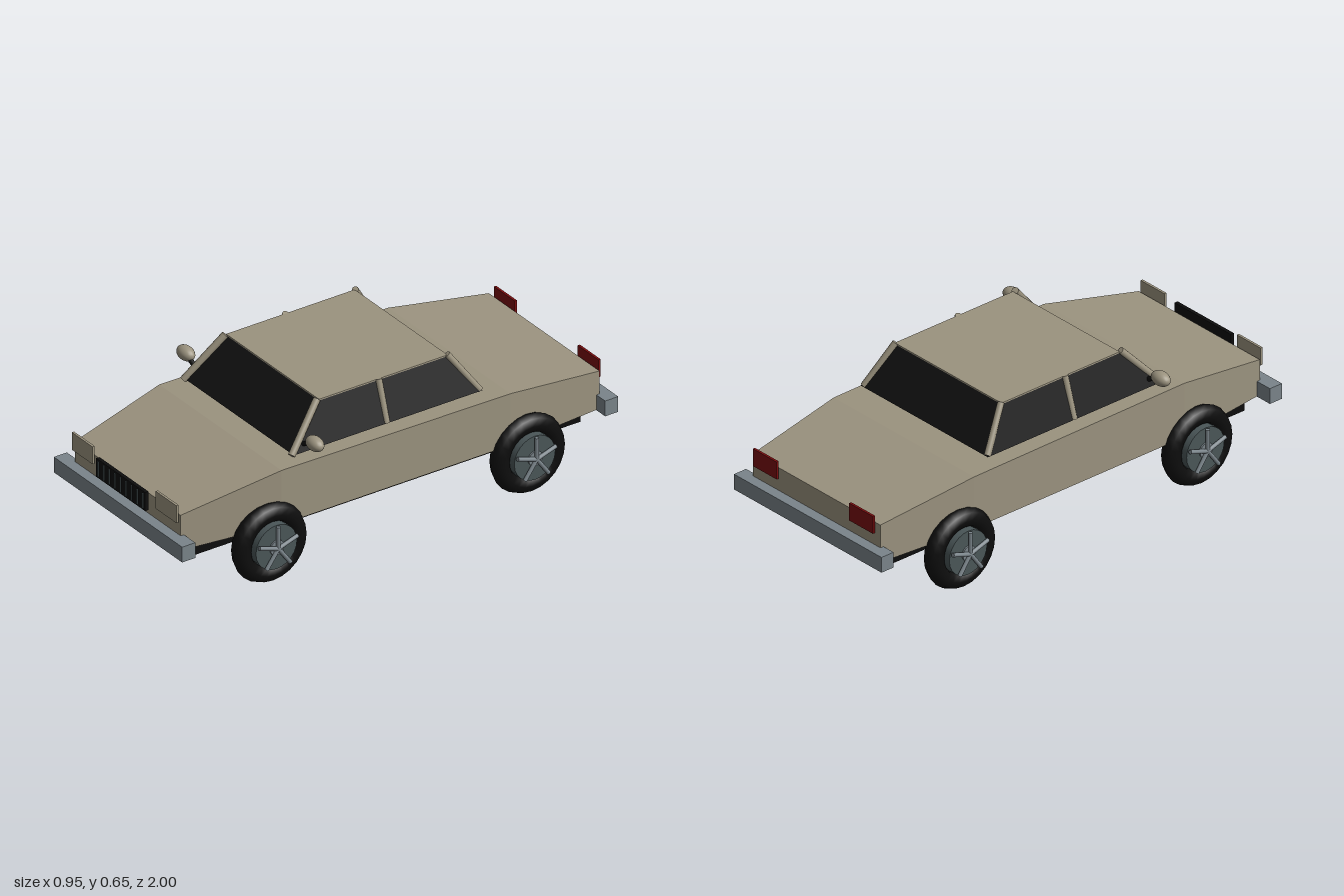
import * as THREE from 'three';

const paint = new THREE.MeshStandardMaterial({ color: 0x9b937f });
paint.name = 'beige paint';
const glass = new THREE.MeshStandardMaterial({ color: 0x111111 });
glass.name = 'dark glass';
const rubber = new THREE.MeshStandardMaterial({ color: 0x0d0d0d });
rubber.name = 'black rubber';
const steel = new THREE.MeshStandardMaterial({ color: 0x7a848a });
steel.name = 'steel grey';
const rimGrey = new THREE.MeshStandardMaterial({ color: 0x4a5658 });
rimGrey.name = 'dark rim grey';
const red = new THREE.MeshStandardMaterial({ color: 0x7a0c0e });
red.name = 'tail red';

function add(parent, name, geometry, material, x = 0, y = 0, z = 0) {
  const mesh = new THREE.Mesh(geometry, material);
  mesh.name = name;
  mesh.position.set(x, y, z);
  parent.add(mesh);
  return mesh;
}

function box(parent, name, material, size, pos) {
  return add(parent, name, new THREE.BoxGeometry(...size), material, ...pos);
}

// Round bar between two points
function bar(parent, name, material, from, to, radius) {
  const a = new THREE.Vector3(...from), b = new THREE.Vector3(...to);
  const dir = b.clone().sub(a);
  const mesh = add(parent, name, new THREE.CylinderGeometry(radius, radius, dir.length(), 12), material);
  mesh.position.copy(a).add(b).multiplyScalar(0.5);
  mesh.quaternion.setFromUnitVectors(new THREE.Vector3(0, 1, 0), dir.normalize());
  return mesh;
}

// Flat-sided solid through four-cornered rings, each counter-clockwise seen from the first end
function loft(rings) {
  const pos = [];
  const tri = (...pts) => pts.forEach((p) => pos.push(...p));
  const first = rings[0], last = rings[rings.length - 1];
  tri(first[0], first[1], first[2]);
  tri(first[0], first[2], first[3]);
  tri(last[2], last[1], last[0]);
  tri(last[3], last[2], last[0]);
  for (let r = 0; r < rings.length - 1; r++) {
    const a = rings[r], b = rings[r + 1];
    for (let i = 0; i < 4; i++) {
      const j = (i + 1) % 4;
      tri(a[i], b[i], b[j]);
      tri(a[i], b[j], a[j]);
    }
  }
  const g = new THREE.BufferGeometry();
  g.setAttribute('position', new THREE.Float32BufferAttribute(pos, 3));
  g.computeVertexNormals();
  return g;
}

const uprightRing = (z, w, y0, y1) => [[-w, y0, z], [w, y0, z], [w, y1, z], [-w, y1, z]];
const levelRing = (y, w, zFront, zBack) => [[-w, y, zFront], [w, y, zFront], [w, y, zBack], [-w, y, zBack]];

// Wheel with its outer face towards +x
function makeWheel() {
  const wheel = new THREE.Group();
  wheel.name = 'wheel';
  const tyre = add(wheel, 'tyre', new THREE.TorusGeometry(0.127, 0.0385, 8, 24), rubber);
  tyre.rotation.y = Math.PI / 2;
  const rim = add(wheel, 'rim', new THREE.CylinderGeometry(0.094, 0.094, 0.1, 24), rimGrey);
  rim.rotation.z = Math.PI / 2;
  const hub = add(wheel, 'hub', new THREE.CylinderGeometry(0.032, 0.032, 0.114, 16), steel);
  hub.rotation.z = Math.PI / 2;
  for (let i = 0; i < 5; i++) {
    const a = (i / 5) * Math.PI * 2;
    bar(wheel, 'spoke', steel, [0.063, 0, 0],
      [0.063, Math.cos(a) * 0.093, Math.sin(a) * 0.093], 0.0085);
  }
  return wheel;
}

export function createModel() {
  const car = new THREE.Group();
  car.name = 'car';

  // Lower body and chassis
  add(car, 'body', loft([
    uprightRing(0.955, 0.345, 0.22, 0.372),
    uprightRing(0.53, 0.4, 0.22, 0.453),
    uprightRing(-0.52, 0.4, 0.22, 0.443),
    uprightRing(-0.955, 0.362, 0.22, 0.382),
  ]), paint);
  box(car, 'chassis', rubber, [0.676, 0.045, 1.77], [0, 0.1975, 0]);

  // Cabin glass and roof skin
  add(car, 'windows', loft([
    levelRing(0.633, 0.305, 0.292, -0.3),
    levelRing(0.473, 0.362, 0.447, -0.418),
  ]), glass);
  add(car, 'roof', loft([
    levelRing(0.638, 0.304, 0.291, -0.299),
    levelRing(0.633, 0.305, 0.292, -0.3),
  ]), paint);

  // Bumpers
  for (const s of [1, -1]) {
    box(car, s > 0 ? 'frontBumper' : 'rearBumper', steel, [0.84, 0.066, 0.06], [0, 0.251, s * 0.97]);
  }

  // Grille with upright slats
  box(car, 'grille', rubber, [0.32, 0.08, 0.015], [0, 0.355, 0.98]);
  for (let i = -4; i <= 4; i++) {
    box(car, 'grilleSlat', rimGrey, [0.005, 0.064, 0.01], [i * 0.0365, 0.355, 0.987]);
  }

  for (const s of [1, -1]) {
    // Lamps
    box(car, 'headlight', paint, [0.135, 0.075, 0.01], [s * 0.274, 0.38, 0.967]);
    box(car, 'tailLight', red, [0.135, 0.075, 0.01], [s * 0.274, 0.38, -0.969]);

    // Roof pillars
    bar(car, 'frontPillar', paint, [s * 0.354, 0.47, 0.452], [s * 0.3, 0.64, 0.298], 0.0145);
    bar(car, 'middlePillar', paint, [s * 0.355, 0.472, 0.018], [s * 0.303, 0.638, 0.018], 0.0135);
    bar(car, 'rearPillar', paint, [s * 0.352, 0.474, -0.412], [s * 0.3, 0.64, -0.298], 0.0135);

    // Door mirrors
    bar(car, 'mirrorArm', rubber, [s * 0.335, 0.495, 0.395], [s * 0.4, 0.525, 0.395], 0.01);
    const mirror = add(car, 'mirror', new THREE.SphereGeometry(1, 20, 14), paint, s * 0.422, 0.535, 0.393);
    mirror.scale.set(0.046, 0.029, 0.03);

    // Wheels
    for (const z of [0.59, -0.595]) {
      const wheel = makeWheel();
      wheel.position.set(s * 0.402, 0.1655, z);
      if (s < 0) wheel.rotation.y = Math.PI;
      car.add(wheel);
    }
  }

  return car;
}
